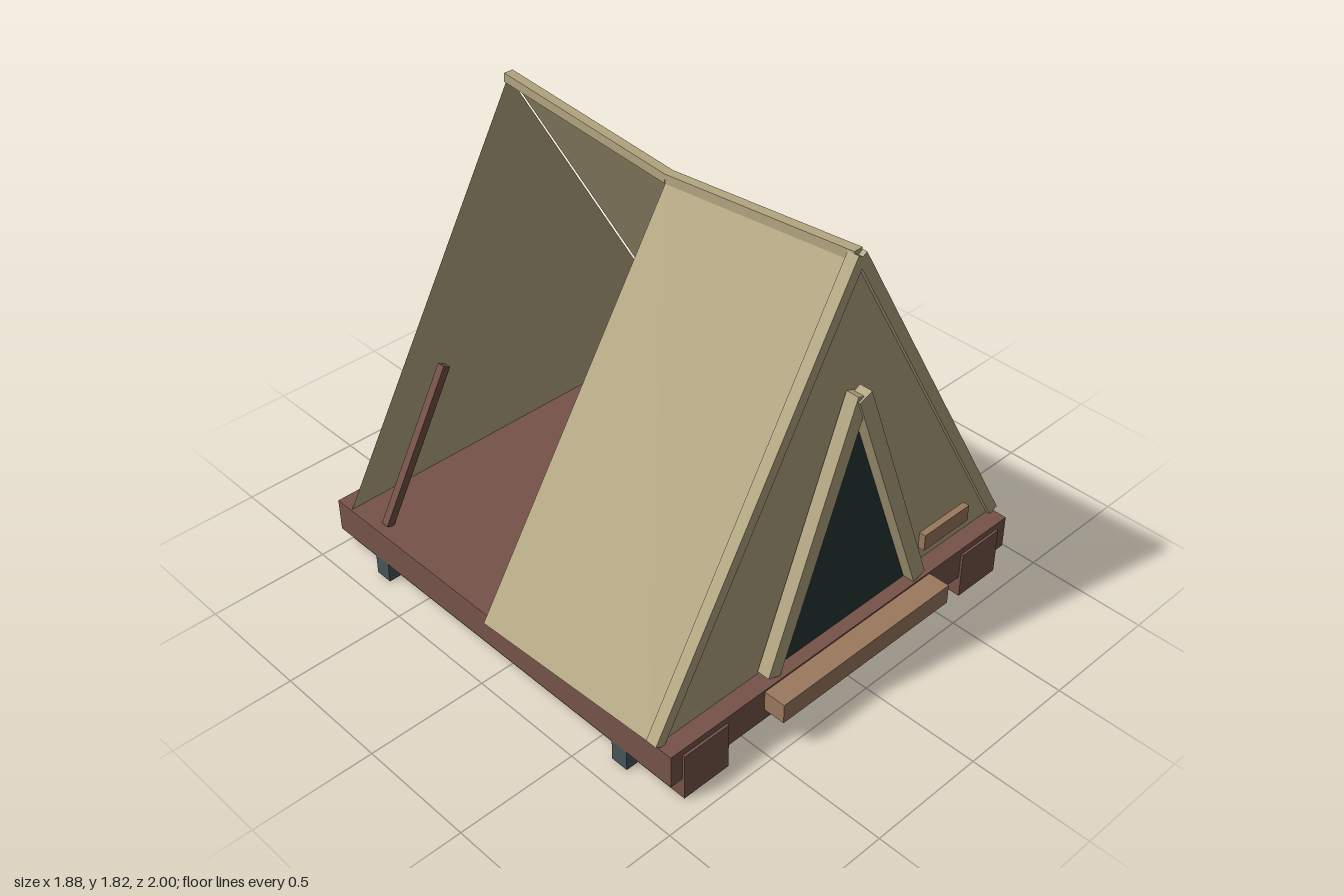
import * as THREE from 'three';

const mat = (name, color, side = THREE.FrontSide) => {
  const m = new THREE.MeshStandardMaterial({ color, side });
  m.name = name;
  return m;
};

export function createModel() {
  const root = new THREE.Group();
  root.name = 'aFrameTent';
  const canvas = mat('canvas', 0xb2a580, THREE.DoubleSide);
  const deckWood = mat('deckWood', 0x765348);
  const paleWood = mat('paleWood', 0x9b785d);
  const poleWood = mat('poleWood', 0x704d43);
  const doorDark = mat('doorDark', 0x253434, THREE.DoubleSide);
  const steel = mat('steel', 0x465459);

  const add = (name, geometry, material) => {
    const mesh = new THREE.Mesh(geometry, material);
    mesh.name = name;
    root.add(mesh);
    return mesh;
  };
  // Box given by its lower and upper limits on each axis
  const block = (name, material, [x0, x1], [y0, y1], [z0, z1]) =>
    add(name, new THREE.BoxGeometry(x1 - x0, y1 - y0, z1 - z0), material)
      .position.set((x0 + x1) / 2, (y0 + y1) / 2, (z0 + z1) / 2);
  // Straight bar between two points
  const beam = (name, material, from, to, width, height) => {
    const a = new THREE.Vector3(...from), b = new THREE.Vector3(...to);
    const mesh = add(name, new THREE.BoxGeometry(width, height, a.distanceTo(b)), material);
    mesh.position.copy(a).add(b).multiplyScalar(0.5);
    mesh.lookAt(b);
  };
  // Flat triangle facing +z
  const triangle = (name, material, half, base, top, z) => {
    const shape = new THREE.Shape([
      new THREE.Vector2(-half, base), new THREE.Vector2(half, base), new THREE.Vector2(0, top),
    ]);
    const mesh = add(name, new THREE.ShapeGeometry(shape), material);
    mesh.position.z = z;
    return mesh;
  };
  // Four-cornered cloth, corners counter-clockwise from outside
  const cloth = (name, corners) => {
    const [a, b, c, d] = corners;
    const g = new THREE.BufferGeometry();
    g.setAttribute('position', new THREE.Float32BufferAttribute([a, b, c, a, c, d].flat(), 3));
    g.computeVertexNormals();
    add(name, g, canvas);
  };

  // Platform, skids, feet and step
  block('deck', deckWood, [-0.905, 0.905], [0.09, 0.233], [-0.985, 0.907]);
  for (const [side, s] of [['left', 1], ['right', -1]]) {
    const span = (a, b) => (s > 0 ? [a, b] : [-b, -a]);
    block(side + 'Skid', deckWood, span(0.635, 0.85), [0, 0.205], [-0.997, 0.917]);
    for (const z of [0.645, -0.722])
      block(side + 'Foot', steel, span(0.83, 0.904), [0, 0.092], [z - 0.038, z + 0.038]);
  }
  block('step', paleWood, [-0.448, 0.446], [0.14, 0.226], [0.9, 1]);

  // Sagging ridge
  const ends = { front: 0.83, back: -0.9 };
  for (const [end, z] of Object.entries(ends))
    beam(end + 'Ridge', canvas, [0, 1.8, z], [0, 1.724, -0.04], 0.04, 0.038);

  // Roof cloths: back half on the left side, front half on the right side
  cloth('leftRoofCloth', [
    [0.91, 0.235, -0.9], [0.015, 1.785, -0.9], [0.015, 1.71, -0.04], [0.94, 0.235, -0.04],
  ]);
  cloth('rightRoofCloth', [
    [-0.91, 0.235, 0.81], [-0.015, 1.785, 0.81], [-0.015, 1.71, -0.04], [-0.94, 0.235, -0.04],
  ]);

  // End walls
  triangle('frontWall', canvas, 0.9, 0.234, 1.8, 0.832);
  triangle('backWall', canvas, 0.9, 0.234, 1.8, 0.9).rotation.y = Math.PI;
  root.getObjectByName('backWall').position.z = -0.9;

  // Door with its two frame bars, and the bars along the front edges
  triangle('door', doorDark, 0.375, 0.234, 1.2, 0.852);
  for (const [side, s] of [['left', 1], ['right', -1]]) {
    beam(side + 'FrontFrame', canvas, [0, 1.8, 0.825], [s * 0.9, 0.237, 0.825], 0.048, 0.045);
    const z = s > 0 ? 0.876 : 0.868;
    beam(side + 'DoorFrame', canvas, [0, 1.275, z], [s * 0.388, 0.246, z], 0.054, 0.064);
  }

  // Small plaque through the front wall
  block('plaque', paleWood, [0.46, 0.718], [0.3, 0.373], [0.8, 0.86]);

  // Loose poles lying along the open roof slopes
  beam('leftPole', poleWood, [0.855, 0.235, 0.645], [0.525, 0.832, 0.645], 0.034, 0.034);
  beam('rightPole', poleWood, [-0.855, 0.235, -0.728], [-0.525, 0.832, -0.728], 0.034, 0.034);

  return root;
}
